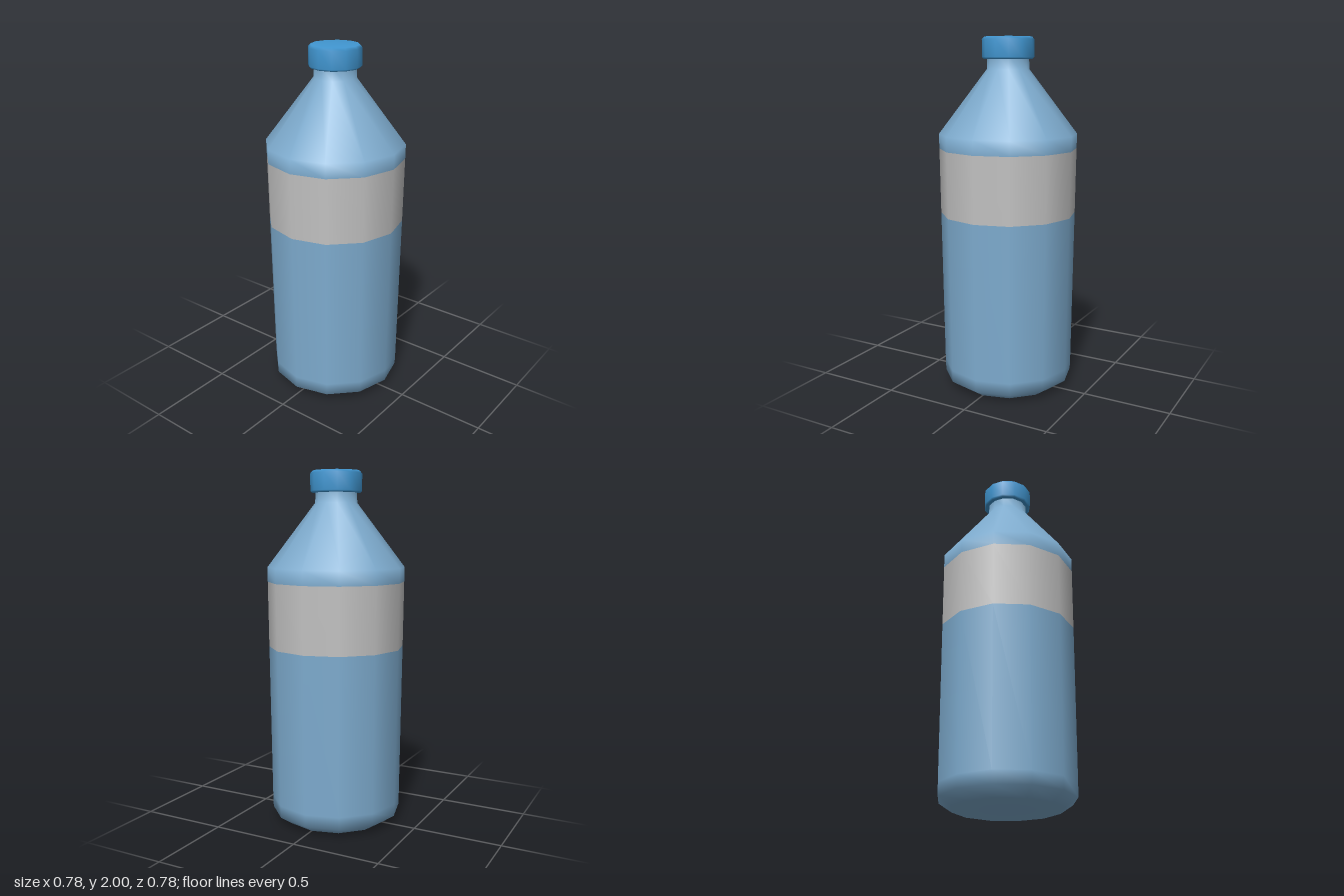
import * as THREE from 'three';

const SIDES = 12;

export function createModel() {
  const plastic = new THREE.MeshStandardMaterial({ color: 0x7eaccf });
  plastic.name = 'pale blue plastic';
  const paper = new THREE.MeshStandardMaterial({ color: 0xc2c2c2 });
  paper.name = 'grey label';
  const lid = new THREE.MeshStandardMaterial({ color: 0x4197d2 });
  lid.name = 'bright blue cap';

  const group = new THREE.Group();
  group.name = 'bottle';

  // Turn a [radius, height] profile, listed from bottom to top
  const turn = (name, material, profile) => {
    const points = profile.map(([r, y]) => new THREE.Vector2(r, y));
    const mesh = new THREE.Mesh(new THREE.LatheGeometry(points, SIDES), material);
    mesh.name = name;
    group.add(mesh);
  };

  // Base and slightly flaring lower wall
  turn('lowerBody', plastic, [[0, 0], [0.3, 0], [0.373, 0.05], [0.375, 0.12], [0.385, 1.015]]);

  // Label band, flush with the wall
  turn('label', paper, [[0.385, 1.015], [0.389, 1.385]]);

  // Top of the wall, sloping shoulder and neck
  turn('shoulderAndNeck', plastic, [[0.389, 1.385], [0.39, 1.467], [0.118, 1.825], [0.116, 1.9]]);

  // Closed screw cap with softened rims
  turn('cap', lid, [[0, 1.88], [0.135, 1.88], [0.145, 1.89], [0.145, 1.985], [0.132, 2], [0, 2]]);

  return group;
}
